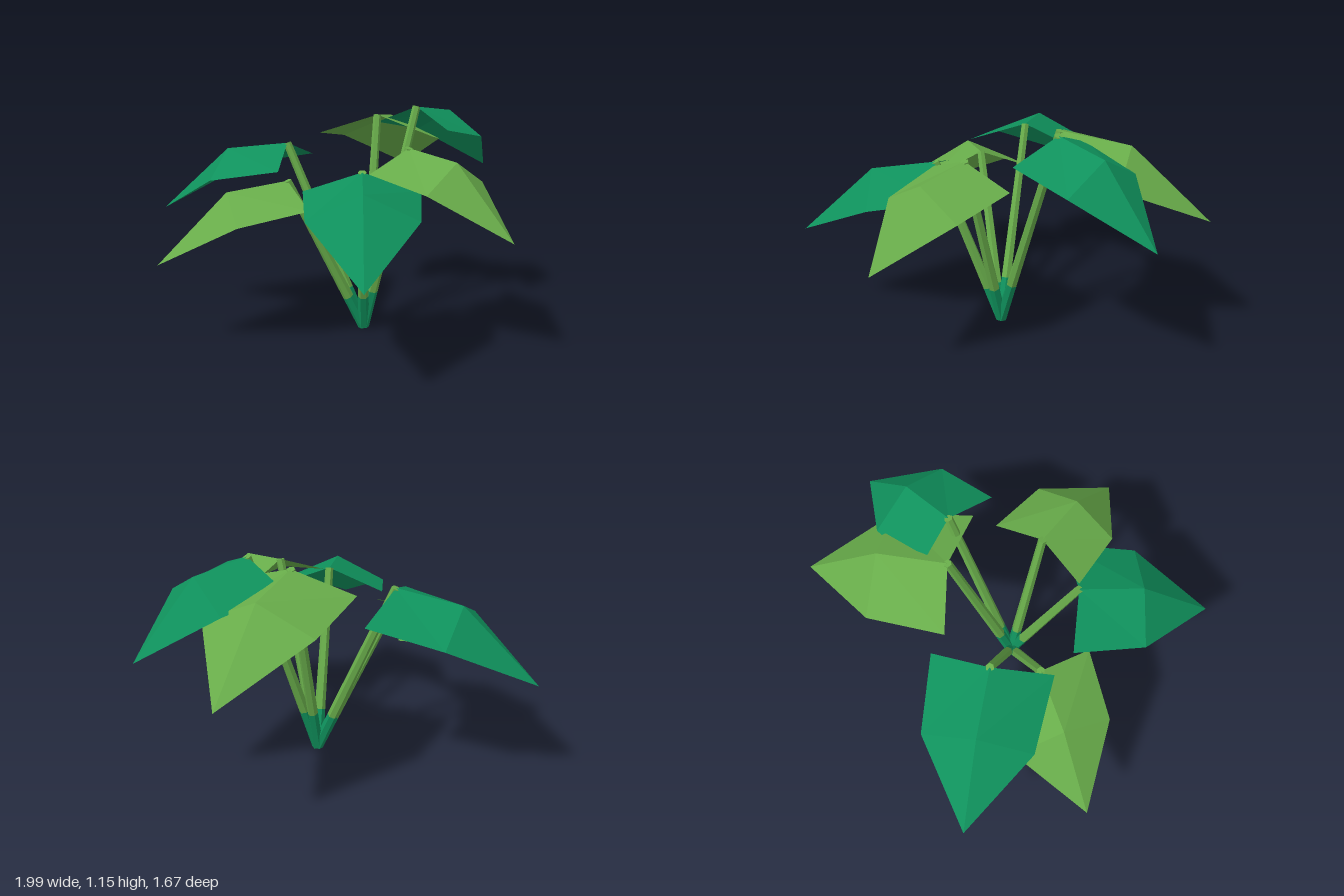
import * as THREE from 'three';

const lightGreen = new THREE.MeshStandardMaterial({ name: 'lightGreen', color: 0x68ac4a, flatShading: true, side: THREE.DoubleSide });
const deepGreen = new THREE.MeshStandardMaterial({ name: 'deepGreen', color: 0x0f915c, flatShading: true, side: THREE.DoubleSide });

// Folded leaf: root row, middle row and tip, growing along +z from the origin
function leafGeometry() {
  const points = [
    -0.254, -0.1, -0.04, 0, 0, 0, 0.254, -0.1, -0.04,
    -0.23, -0.165, 0.28, 0, -0.04, 0.285, 0.23, -0.165, 0.28,
    0, -0.38, 0.61,
  ];
  const geometry = new THREE.BufferGeometry();
  geometry.setAttribute('position', new THREE.Float32BufferAttribute(points, 3));
  geometry.setIndex([0, 3, 1, 3, 4, 1, 1, 4, 2, 4, 5, 2, 3, 6, 4, 4, 6, 5]);
  const flat = geometry.toNonIndexed();
  flat.computeVertexNormals();
  return flat;
}

// Tapered six-sided rod between two points
function rod(name, from, to, r0, r1, material) {
  const along = to.clone().sub(from);
  const mesh = new THREE.Mesh(new THREE.CylinderGeometry(r1, r0, along.length(), 6), material);
  mesh.name = name;
  mesh.position.copy(from).addScaledVector(along, 0.5);
  mesh.quaternion.setFromUnitVectors(new THREE.Vector3(0, 1, 0), along.normalize());
  return mesh;
}

export function createModel() {
  const model = new THREE.Group();
  model.name = 'leafyPlant';
  const root = new THREE.Vector3(0.03, 0.008, -0.04);
  const leaf = leafGeometry();

  // Each frond: stem top, heading in degrees from the front, leaf spread, leaf colour
  const fronds = [
    { top: [0.13, 0.985, 0.22], heading: 18, spread: 1.0, material: lightGreen },
    { top: [-0.15, 0.895, 0.24], heading: -31, spread: 1.125, material: deepGreen },
    { top: [-0.36, 0.815, -0.13], heading: -104, spread: 1.07, material: lightGreen },
    { top: [-0.25, 0.97, -0.34], heading: -135, spread: 1.16, material: deepGreen },
    { top: [0.24, 1.095, -0.24], heading: 134, spread: 1.215, material: lightGreen },
    { top: [0.41, 1.14, -0.12], heading: 103.5, spread: 0.985, material: deepGreen },
  ];

  for (const { top, heading, spread, material } of fronds) {
    const frond = new THREE.Group();
    frond.name = 'frond';
    const end = new THREE.Vector3(...top);
    const split = root.clone().lerp(end, 0.21);

    // Dark foot and light upper stem
    frond.add(rod('stemFoot', root, split, 0.03, 0.028, deepGreen));
    frond.add(rod('stem', split, end, 0.028, 0.021, lightGreen));

    const blade = new THREE.Mesh(leaf, material);
    blade.name = 'leaf';
    blade.position.copy(end);
    blade.rotation.y = THREE.MathUtils.degToRad(heading);
    blade.scale.set(spread, 1, spread);
    frond.add(blade);
    model.add(frond);
  }
  return model;
}
